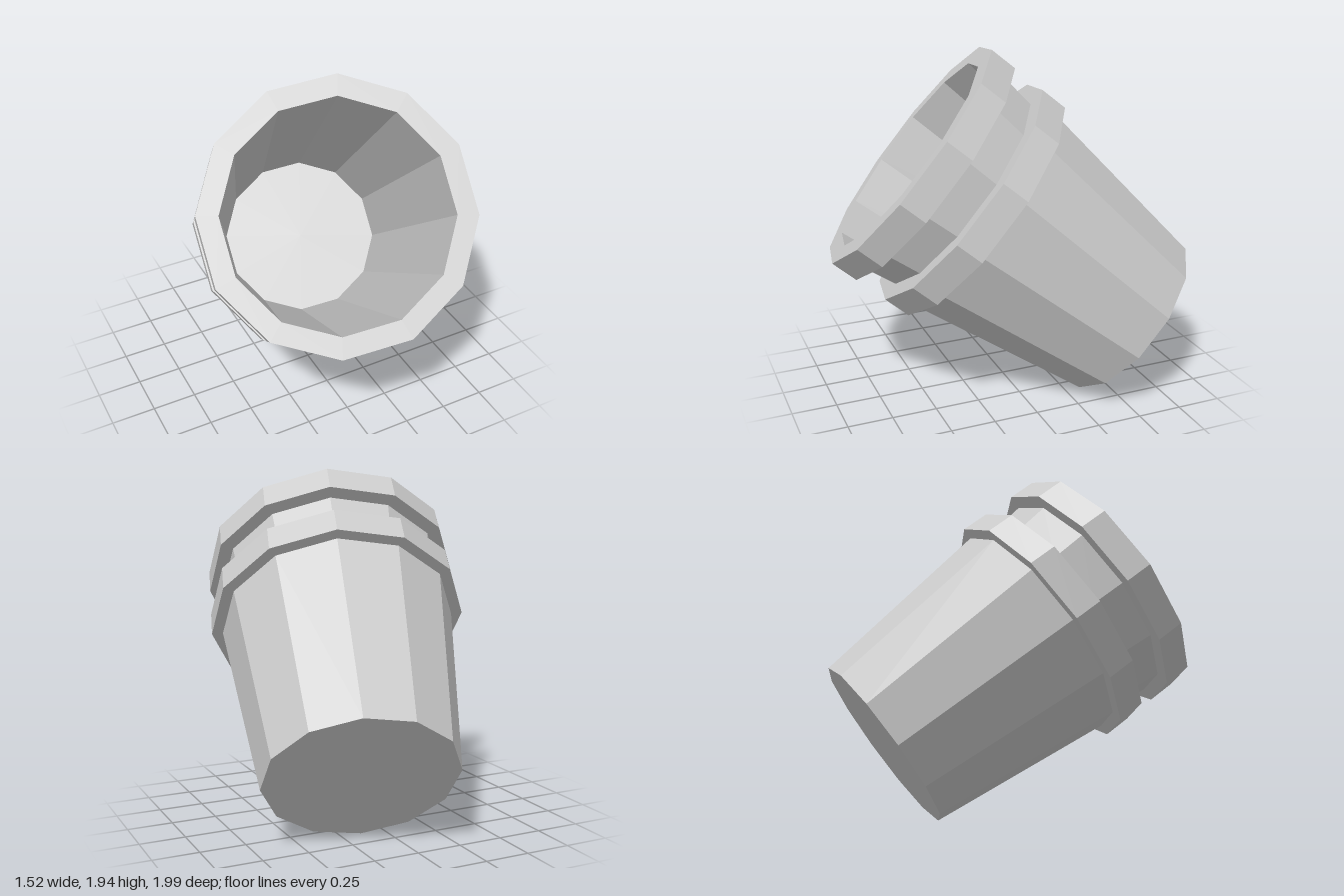
import * as THREE from 'three';

const SIDES = 12;
const material = new THREE.MeshStandardMaterial({ color: 0xcccccc, flatShading: true });

// Revolve a profile of [radius, distance below the mouth]
function turned(name, profile) {
  const points = profile.map(([r, d]) => new THREE.Vector2(r, -d));
  const mesh = new THREE.Mesh(new THREE.LatheGeometry(points, SIDES), material);
  mesh.name = name;
  return mesh;
}

export function createModel() {
  const group = new THREE.Group();
  group.name = 'taperedCup';

  // Closed base and tapering outer wall
  group.add(turned('outerWall', [[0, 1.573], [0.512, 1.573], [0.655, 0.498]]));

  // Raised band around the cup
  group.add(turned('band', [[0.655, 0.498], [0.717, 0.498], [0.717, 0.343], [0.617, 0.343]]));

  // Recessed neck between band and rim
  group.add(turned('neck', [[0.617, 0.343], [0.642, 0.155]]));

  // Thick rim at the mouth
  group.add(turned('rim', [[0.642, 0.155], [0.717, 0.155], [0.717, 0], [0.603, 0]]));

  // Hollow inside with a floor
  group.add(turned('innerWall', [[0.603, 0], [0.475, 1.53], [0, 1.53]]));

  // Lean the cup: its axis points up, forward and slightly to its right
  const axis = new THREE.Vector3(-0.228, 0.629, 0.743).normalize();
  const corner = new THREE.Vector3(0.195, 0.555, -0.405);
  corner.addScaledVector(axis, -corner.dot(axis)).normalize();
  const side = new THREE.Vector3().crossVectors(axis, corner);
  group.quaternion.setFromRotationMatrix(new THREE.Matrix4().makeBasis(side, axis, corner));
  group.position.set(-0.085, 1.395, 0.515);

  const model = new THREE.Group();
  model.name = 'cup';
  model.add(group);
  return model;
}
